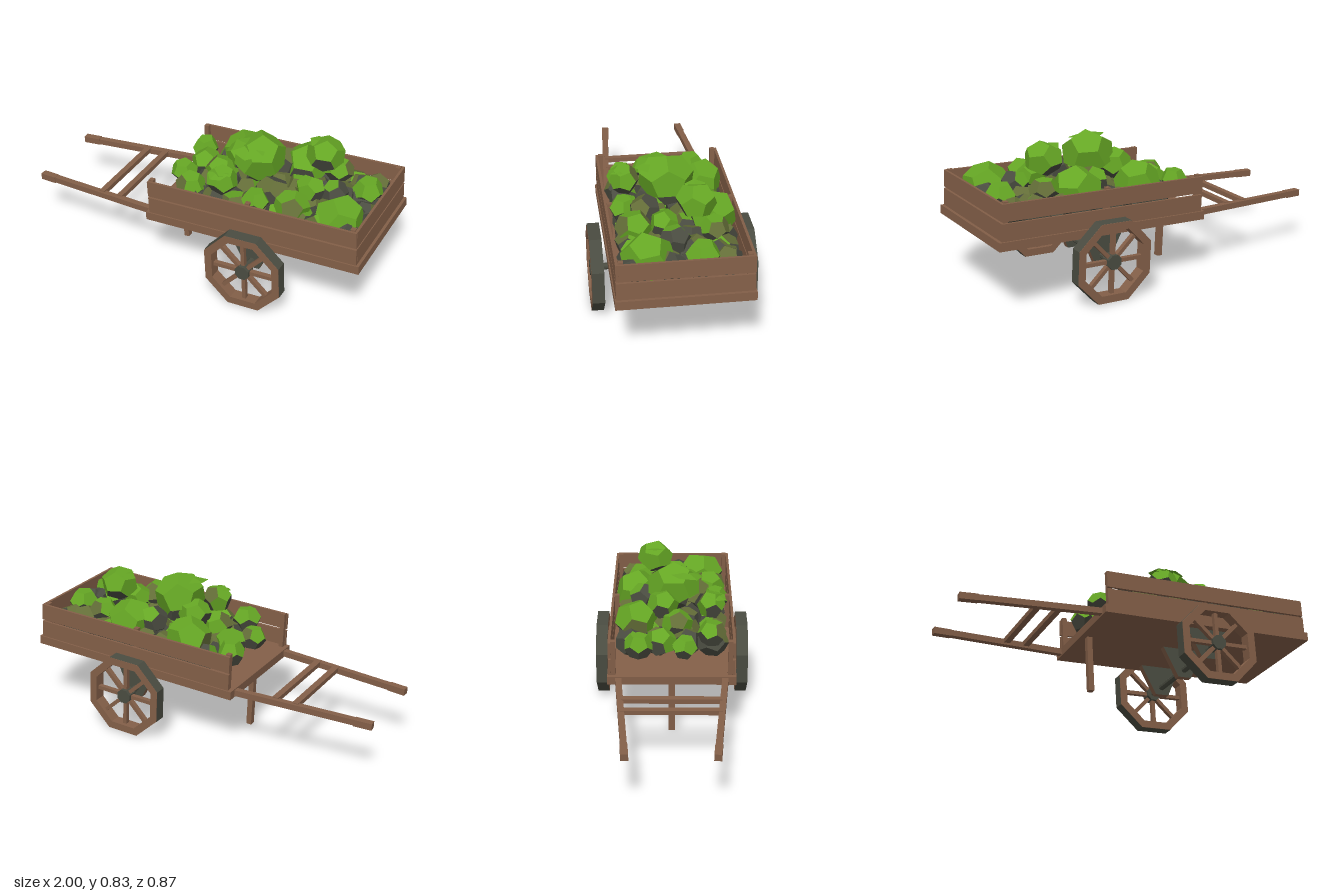
import * as THREE from 'three';

const mat = (name, color, side = THREE.FrontSide) => {
  const m = new THREE.MeshStandardMaterial({ color, side, flatShading: true });
  m.name = name;
  return m;
};

export function createModel() {
  const wood = mat('wood', 0x835f48);
  const iron = mat('darkGrey', 0x4a4c41);
  const green = mat('leafGreen', 0x65a624, THREE.DoubleSide);
  const olive = mat('olive', 0x646e38);
  const root = new THREE.Group();
  root.name = 'handcart';

  let seed = 11;
  const rnd = () => (seed = (seed * 16807) % 2147483647) / 2147483647;

  const add = (parent, name, geo, m, x = 0, y = 0, z = 0) => {
    const mesh = new THREE.Mesh(geo, m);
    mesh.name = name;
    mesh.position.set(x, y, z);
    parent.add(mesh);
    return mesh;
  };
  const box = (parent, name, w, h, d, x, y, z) =>
    add(parent, name, new THREE.BoxGeometry(w, h, d), wood, x, y, z);
  // Square bar running between two points
  const beam = (name, a, b, w, h) => {
    const p = new THREE.Vector3(...a), q = new THREE.Vector3(...b);
    const mesh = new THREE.Mesh(new THREE.BoxGeometry(w, h, p.distanceTo(q)), wood);
    mesh.name = name;
    mesh.position.copy(p).lerp(q, 0.5);
    mesh.lookAt(q);
    root.add(mesh);
  };

  // Tilted cart body
  const tilt = 0.052;
  const body = new THREE.Group();
  body.name = 'body';
  body.position.set(0.38, 0.371, 0);
  body.rotation.z = tilt;
  root.add(body);
  box(body, 'floor', 1.24, 0.047, 0.7, 0, 0, 0);
  for (const [y, h] of [[0.071, 0.092], [0.173, 0.092]]) {
    for (const s of [1, -1]) box(body, 'sidePlank', 1.205, h, 0.014, 0.002, y, s * 0.337);
    box(body, 'tailPlank', 0.014, h, 0.66, 0.598, y, 0);
  }
  for (const s of [1, -1])
    for (const x of [-0.583, -0.01, 0.578])
      box(body, 'post', 0.026, 0.204, 0.026, x, 0.124, s * 0.317);

  // Prop leg
  const leg = box(root, 'leg', 0.03, 0.33, 0.034, -0.182, 0.172, 0);
  leg.rotation.z = tilt;

  // Handles with grips and two crossbars
  for (const s of [1, -1]) {
    beam('handle', [-0.99, 0.304, s * 0.228], [-0.2, 0.342, s * 0.293], 0.034, 0.033);
    beam('grip', [-0.998, 0.303, s * 0.228], [-0.9, 0.308, s * 0.236], 0.039, 0.037);
  }
  for (const x of [-0.575, -0.46]) {
    const bar = box(root, 'crossbar', 0.034, 0.026, 0.53, x, 0.336 + (x + 0.5) * 0.05, 0);
    bar.rotation.z = tilt;
  }

  // Axle and its three tapered brackets
  const running = new THREE.Group();
  running.name = 'runningGear';
  running.position.set(0.385, 0.2225, 0);
  running.rotation.z = tilt;
  root.add(running);
  const prism = (r, len, open = false) => new THREE.CylinderGeometry(r, r, len, 8, 1, open)
    .rotateY(Math.PI / 8).rotateX(Math.PI / 2);
  add(running, 'axle', prism(0.018, 0.86), iron);
  const shape = new THREE.Shape([[-0.125, 0.135], [-0.04, -0.045], [0.04, -0.045], [0.125, 0.135]]
    .map(p => new THREE.Vector2(...p)));
  for (const z of [-0.288, 0, 0.288])
    add(running, 'bracket', new THREE.ExtrudeGeometry(shape, { depth: 0.036, bevelEnabled: false }),
      [iron, wood], 0, 0, z - 0.018);

  // Eight-sided wooden wheels with a dark tyre
  const octagon = r => Array.from({ length: 8 }, (_, i) => {
    const a = (i + 0.5) * Math.PI / 4;
    return new THREE.Vector2(r * Math.cos(a), r * Math.sin(a));
  });
  const rim = new THREE.Shape(octagon(0.2345));
  rim.holes.push(new THREE.Path(octagon(0.19).reverse()));
  for (const s of [1, -1]) {
    const wheel = new THREE.Group();
    wheel.name = 'wheel';
    wheel.position.z = s * 0.403;
    running.add(wheel);
    add(wheel, 'rim', new THREE.ExtrudeGeometry(rim, { depth: 0.066, bevelEnabled: false }),
      wood, 0, 0, -0.033);
    add(wheel, 'tyre', prism(0.236, 0.066, true), iron);
    add(wheel, 'hub', prism(0.042, 0.06), iron);
    for (let i = 0; i < 8; i++) {
      const a = i * Math.PI / 4;
      const spoke = box(wheel, 'spoke', 0.15, 0.021, 0.026, 0.107 * Math.cos(a), 0.107 * Math.sin(a), 0);
      spoke.rotation.z = a;
    }
  }

  // Cabbages: twelve-sided heads; fresh ones are green, dull ones olive and grey
  const load = new THREE.Group();
  load.name = 'cabbages';
  root.add(load);
  const FRESH = 0, DULL = 1, SHELL = 2;
  const cabbage = (x, y, z, r, kind = FRESH) => {
    const geo = new THREE.DodecahedronGeometry(r)
      .rotateX(rnd() * 6).rotateZ(rnd() * 6)
      .scale(0.92 + rnd() * 0.16, 0.9 + rnd() * 0.12, 0.92 + rnd() * 0.16);
    const p = geo.attributes.position;
    for (let f = 0; f < 12; f++) {
      let h = 0;
      for (let k = 0; k < 9; k++) h += p.getY(f * 9 + k) / (9 * r);
      const pick = rnd();
      let m = h < -0.15 ? 2 : pick < 0.1 ? 1 : 0;
      if (kind === DULL) m = h < 0.3 || pick < 0.3 ? 2 : pick < 0.8 ? 1 : 0;
      // A shell is open underneath
      if (kind === SHELL) m = 0;
      if (kind !== SHELL || h > -0.2) geo.addGroup(f * 9, 9, m);
    }
    geo.computeVertexNormals();
    add(load, kind === SHELL ? 'leafShell' : 'cabbageHead', geo, [green, olive, iron], x, y, z);
  };
  // Loose outer leaf: a folded fan lifting away from a head
  const looseLeaf = (x, y, z, r, turn, lift) => {
    const geo = new THREE.CircleGeometry(r, 6).rotateX(-Math.PI / 2);
    const q = geo.attributes.position;
    for (let i = 0; i < q.count; i++)
      q.setY(i, -0.25 * q.getX(i) ** 2 / r - 0.15 * Math.abs(q.getZ(i)));
    add(load, 'looseLeaf', geo, green, x, y, z).rotation.set(0, -turn, lift, 'YXZ');
  };

  // Top layer: x, z, radius, height of the crown, kind
  const heads = [
    [0.28, 0.01, 0.145, 0.825, SHELL], [0.28, 0, 0.1, 0.72, DULL],
    [0.61, -0.1, 0.1, 0.83, FRESH],
    [-0.15, -0.18, 0.078, 0.58], [0.1, -0.2, 0.13, 0.67], [0.47, -0.2, 0.13, 0.69],
    [0.78, -0.2, 0.09, 0.6, DULL], [0.86, -0.1, 0.09, 0.66], [0.81, 0.17, 0.138, 0.68],
    [0.6, 0.06, 0.08, 0.68], [0.72, 0.02, 0.08, 0.66, DULL], [0.56, 0.21, 0.1, 0.66],
    [0.42, 0.14, 0.095, 0.66, DULL], [0.37, 0.25, 0.075, 0.64], [0.16, 0.22, 0.085, 0.7],
    [-0.03, 0.22, 0.085, 0.61], [-0.15, 0.07, 0.075, 0.57], [-0.08, -0.06, 0.085, 0.58],
    [0.06, 0.03, 0.09, 0.63], [0.15, -0.05, 0.09, 0.71], [0.36, -0.16, 0.09, 0.67, DULL],
    [0.66, -0.19, 0.08, 0.67], [0.9, 0.04, 0.065, 0.6, DULL]];
  for (const [x, z, r, top, kind] of heads) cabbage(x, top - r * 0.93, z, r, kind);
  looseLeaf(0.25, 0.785, 0.08, 0.1, 1.4, -0.15);
  looseLeaf(0.58, 0.8, -0.1, 0.06, Math.PI, 0.35);
  looseLeaf(0.15, 0.685, 0.25, 0.06, 2, -0.2);

  // Buried layer filling the bed
  for (let i = 0; i < 8; i++)
    for (let j = 0; j < 4; j++)
      cabbage(0.0 + i * 0.122, 0.465 + i * 0.008, -0.225 + j * 0.15, 0.09, DULL);

  return root;
}
